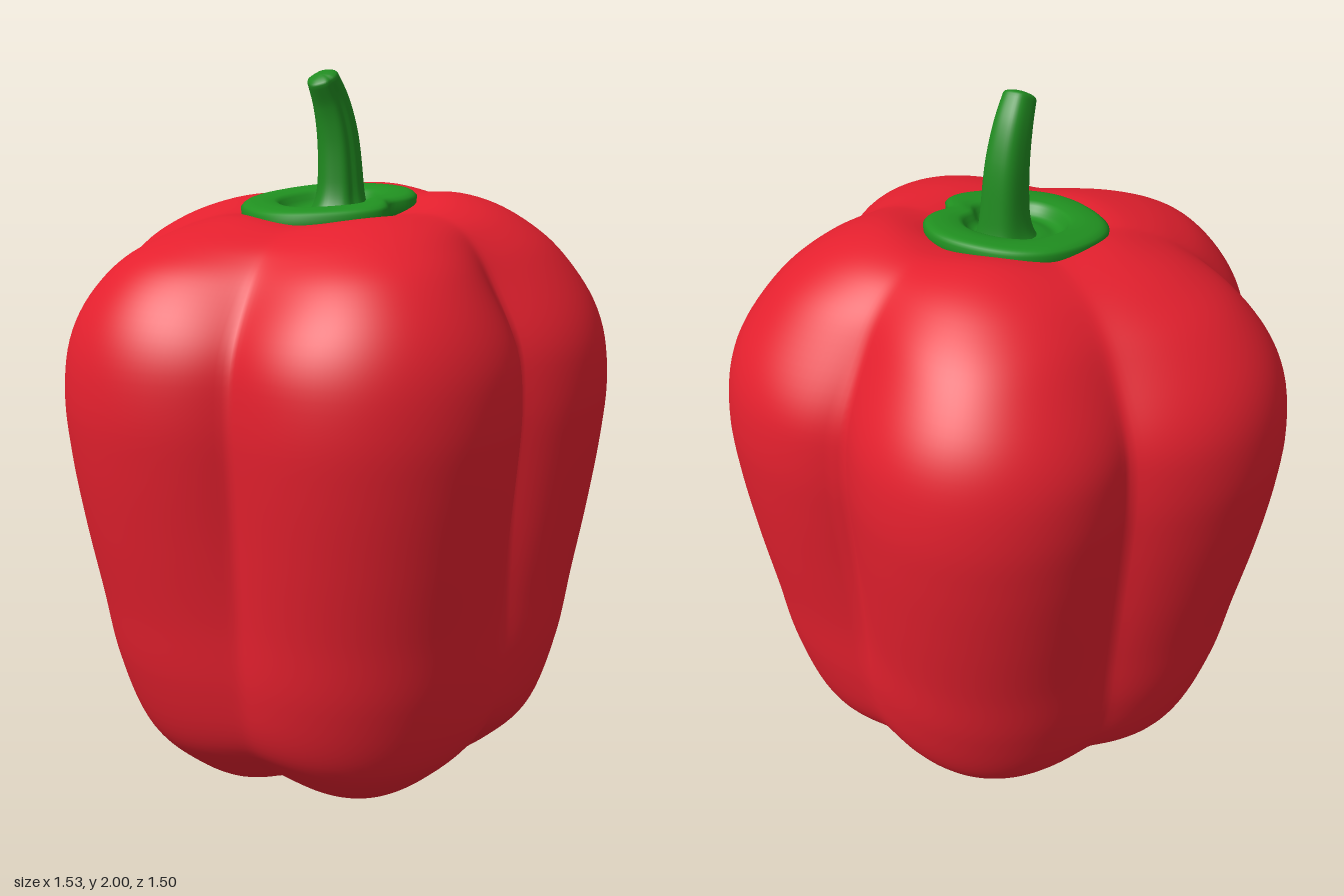
import * as THREE from 'three';

const rad = THREE.MathUtils.degToRad;
const smooth = THREE.MathUtils.smoothstep;
const lerp = THREE.MathUtils.lerp;

// Skin closed around u (angle) and running upward along v (0..1)
function skin(name, color, nu, nv, point) {
  const pos = [], idx = [];
  for (let j = 0; j <= nv; j++)
    for (let i = 0; i < nu; i++) pos.push(...point((i / nu) * Math.PI * 2, j / nv));
  for (let j = 0; j < nv; j++)
    for (let i = 0; i < nu; i++) {
      const a = j * nu + i, b = j * nu + ((i + 1) % nu);
      idx.push(a, a + nu, b, b, a + nu, b + nu);
    }
  const geo = new THREE.BufferGeometry();
  geo.setAttribute('position', new THREE.Float32BufferAttribute(pos, 3));
  geo.setIndex(idx);
  geo.computeVertexNormals();
  const mesh = new THREE.Mesh(geo, new THREE.MeshStandardMaterial({ color, side: THREE.DoubleSide }));
  mesh.name = name;
  return mesh;
}

const curve = (pts) =>
  new THREE.CatmullRomCurve3(pts.map(([x, y, z = 0]) => new THREE.Vector3(x, y, z)), false, 'centripetal');

// Grooves: angle (x towards z), radius, then for the lobe that follows: crest radius, sharpness of its two flanks
const GROOVES = [
  [46, 0.555, 0.752, 0.55, 0.85], [126, 0.61, 0.775, 0.8, 0.9], [195.5, 0.668, 0.797, 0.9, 0.68],
  [264, 0.645, 0.793, 0.8, 0.9], [333, 0.61, 0.765, 0.65, 0.8],
];

// Outline radius at an angle and how deep in a groove it lies (0..1); soft rounds the grooves off
function lobes(theta, soft) {
  let d = (theta * 180) / Math.PI;
  if (d < 46) d += 360;
  let k = 4;
  while (d < GROOVES[k][0]) k--;
  const [a0, r0, crest, p0, p1] = GROOVES[k];
  const next = GROOVES[(k + 1) % 5];
  const a1 = next[0] + (k === 4 ? 360 : 0);
  const t = (d - a0) / (a1 - a0);
  const s = Math.sin(Math.PI * t);
  const power = lerp(lerp(p0, p1, t), 1.7, soft);
  const bump = Math.pow((s * s + 0.005) / 1.005, power / 2);
  return { r: lerp(r0, next[1], t) + (crest - (r0 + next[1]) / 2) * bump, groove: 1 - bump };
}

// The crown leans up towards the back left, evening out at the shoulder
const tilt = (x, z) => (0.075 * x - 0.06 * z) * (1 - smooth(Math.hypot(x, z), 0.3, 0.72));

export function createModel() {
  const group = new THREE.Group();
  group.name = 'bellPepper';

  // Fruit: fraction of the outline radius against height
  const rows = curve([
    [0, 0.075], [0.1, 0.06], [0.22, 0.022], [0.35, 0.003], [0.48, 0.025], [0.62, 0.095], [0.75, 0.2],
    [0.845, 0.4], [0.895, 0.6], [0.945, 0.8], [0.985, 1.0], [1, 1.15], [0.98, 1.29], [0.925, 1.395],
    [0.8, 1.515], [0.66, 1.587], [0.53, 1.627], [0.4, 1.645], [0.3, 1.633], [0.18, 1.595], [0, 1.56],
  ]).getSpacedPoints(110);
  group.add(skin('fruit', 0xe4202e, 240, 110, (theta, v) => {
    const p = rows[Math.round(v * 110)];
    const above = smooth(p.y, 1.25, 1.65), below = 1 - smooth(p.y, 0.1, 1);
    const { r, groove } = lobes(theta, 0.7 * above + 0.4 * below);
    // Grooves get shallower towards the base and fade out on the crown
    const depth = lerp(1, 0.4, below) * (p.y > 0.8 ? lerp(0.15, 1, smooth(p.x, 0.32, 0.95)) : 1);
    const R = p.x * lerp(0.768, r, depth);
    const x = R * Math.cos(theta), z = R * Math.sin(theta);
    const lift = 0.045 * groove * smooth(p.x, 0.06, 0.35) * (1 - smooth(p.y, 0.05, 0.35));
    const dip = 0.018 * groove * above * smooth(p.x, 0.2, 0.4);
    return [x, p.y + lift - dip + tilt(x, z) * smooth(p.y, 1.2, 1.55), z];
  }));

  // Calyx: padded collar with a notch and a sunken middle
  const collar = curve([
    [0.9, -0.04], [0.99, -0.02], [1, 0], [0.95, 0.015], [0.82, 0.022], [0.66, 0.02], [0.57, 0.012],
    [0.52, -0.008], [0.44, -0.02], [0.3, -0.015], [0, -0.01],
  ]).getSpacedPoints(36);
  group.add(skin('calyx', 0x209020, 120, 36, (theta, v) => {
    const p = collar[Math.round(v * 36)];
    const off = Math.atan2(Math.sin(theta - rad(43)), Math.cos(theta - rad(43)));
    const notch = 0.046 * Math.exp(-((off / 0.24) ** 2));
    const R = p.x * (0.245 + 0.004 * Math.cos(5 * theta + 0.6) - notch * (0.4 + 0.6 * p.x));
    const x = -0.02 + R * Math.cos(theta), z = -0.02 + R * Math.sin(theta);
    return [x, 1.639 + p.y + tilt(x, z), z];
  }));

  // Stem: curved, flared at the foot, with shallow ribs and a rounded tip
  const path = curve([
    [0.012, 1.6, -0.03], [0.014, 1.7, -0.032], [0.006, 1.82, -0.029], [-0.014, 1.91, -0.016], [-0.042, 1.976, 0.008],
  ]);
  const up = new THREE.Vector3(0, 1, 0);
  group.add(skin('stem', 0x208a20, 48, 40, (theta, v) => {
    const t = Math.min(v / 0.9, 1);
    const cap = (Math.max(v - 0.9, 0) / 0.1) * (Math.PI / 2);
    let R = lerp(0.066, 0.043, t ** 1.3) + 0.035 * Math.exp(-t * 14);
    R *= 1 + 0.03 * Math.cos(5 * theta) - 0.16 * Math.exp(-(((theta - rad(65)) / 0.25) ** 2));
    R *= Math.cos(cap);
    const o = new THREE.Vector3(R * Math.cos(theta), 0.014 * Math.sin(cap), R * Math.sin(theta));
    const turn = new THREE.Quaternion().setFromUnitVectors(up, path.getTangent(t));
    return o.applyQuaternion(turn).add(path.getPoint(t)).toArray();
  }));

  return group;
}
